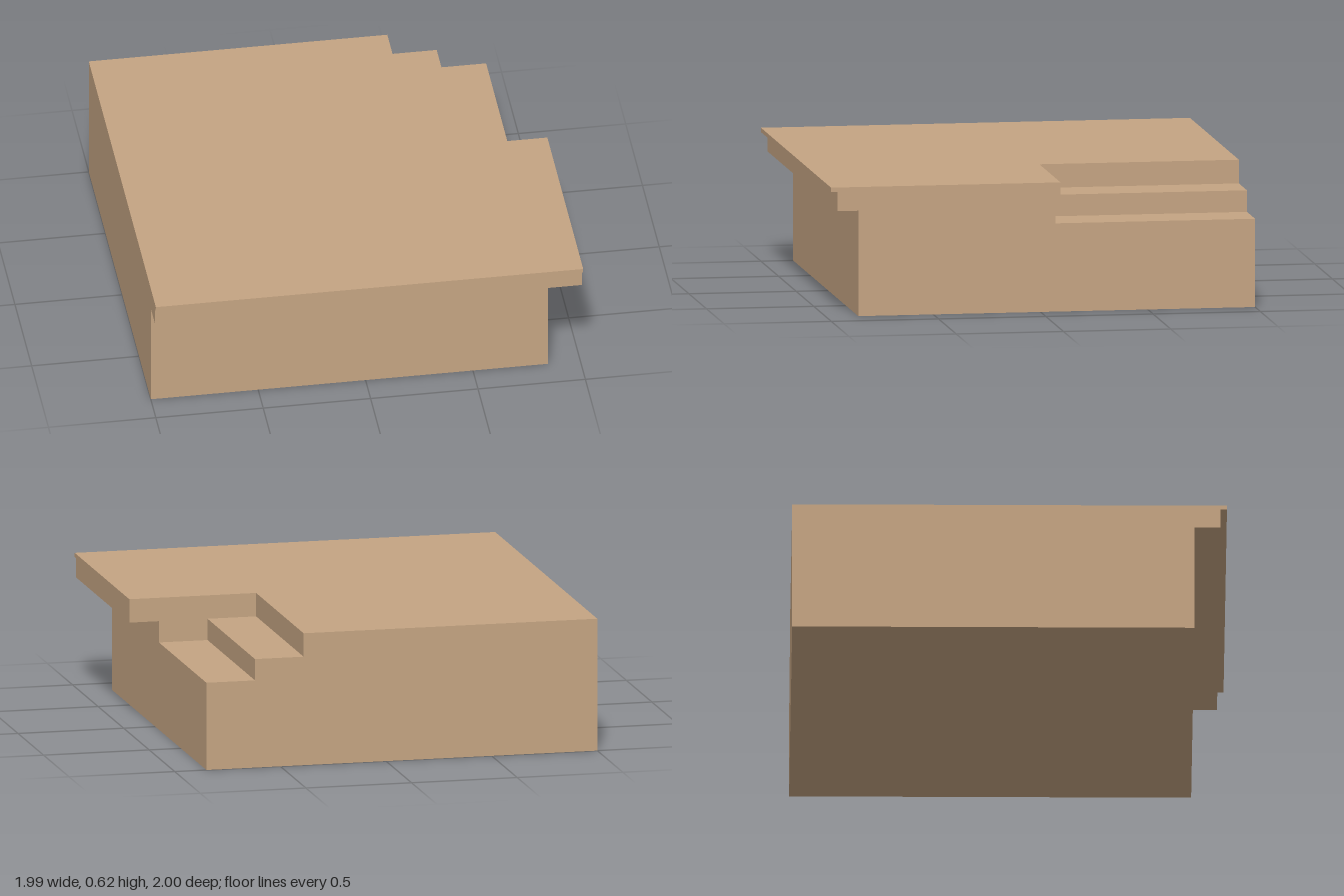
import * as THREE from 'three';

// Straight prism from a profile of [x, y] points
function prism(points, depth) {
  const shape = new THREE.Shape(points.map(([x, y]) => new THREE.Vector2(x, y)));
  return new THREE.ExtrudeGeometry(shape, { depth, bevelEnabled: false });
}

export function createModel() {
  const group = new THREE.Group();
  const tan = new THREE.MeshStandardMaterial({ color: 0xc4a482 });
  tan.name = 'tan';

  const add = (name, geometry) => {
    const mesh = new THREE.Mesh(geometry, tan);
    mesh.name = name;
    group.add(mesh);
  };

  const left = -1, wall = 0.85, back = -1, split = -0.07;
  const top = 0.62, under = 0.51, edge = 0.99;

  // Rear block with two steps cut into its side
  add('steppedRearBlock', prism([
    [left, 0], [wall, 0], [wall, 0.41], [0.62, 0.41],
    [0.62, under], [0.39, under], [0.39, top], [left, top],
  ], split - back).translate(0, 0, back));

  // Front base under the deck
  add('frontBase', new THREE.BoxGeometry(wall - left, under, wall - split)
    .translate((wall + left) / 2, under / 2, (wall + split) / 2));

  // Overhanging deck with a thin lip along the front (profile runs along z)
  add('deckWithLip', prism([
    [split, under], [0.97, under], [0.97, 0.6], [1, 0.6], [1, top], [split, top],
  ], edge - left).rotateY(-Math.PI / 2).translate(edge, 0, 0));

  return group;
}
